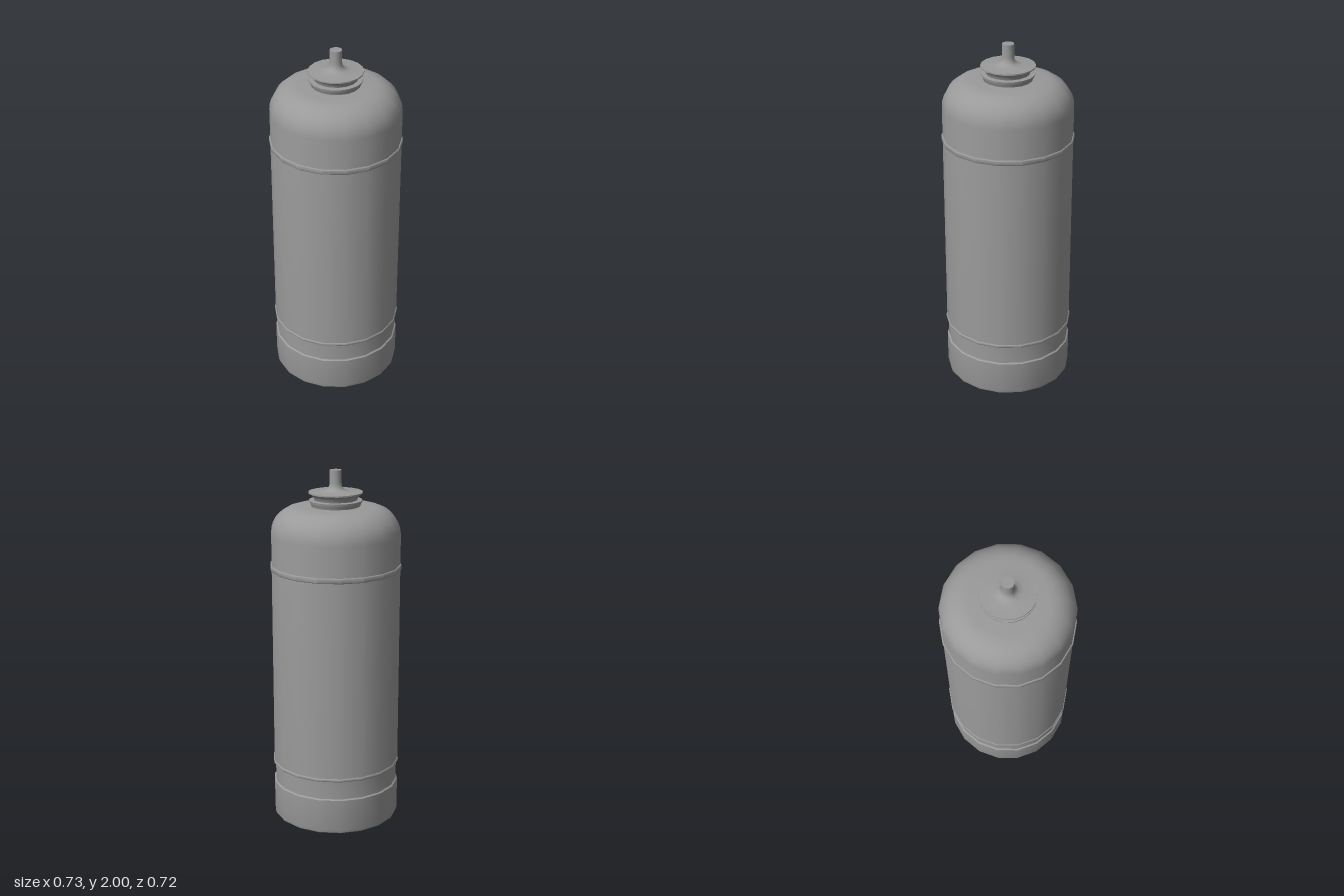
import * as THREE from 'three';
import { toCreasedNormals } from 'three/addons/utils/BufferGeometryUtils.js';

const SIDES = 18;

export function createModel() {
  const group = new THREE.Group();
  const material = new THREE.MeshStandardMaterial({ color: 0x9a9a9a });

  // Spin a [radius, height] profile, listed from bottom to top, with a corner on +x
  const turned = (name, profile) => {
    const points = profile.map(([r, y]) => new THREE.Vector2(r, y));
    const lathe = new THREE.LatheGeometry(points, SIDES, Math.PI / 2);
    const mesh = new THREE.Mesh(toCreasedNormals(lathe, 0.65), material);
    mesh.name = name;
    group.add(mesh);
  };

  // Base cup with a softened bottom edge
  turned('base', [[0, 0], [0.343, 0], [0.354, 0.008], [0.359, 0.025], [0.359, 0.205], [0.351, 0.211]]);

  // Recessed ring between base and body
  turned('recess', [[0.351, 0.205], [0.351, 0.325]]);

  // Straight body with a rounded shoulder
  const shoulder = [];
  for (let i = 0; i <= 8; i++) {
    const a = (i / 8) * Math.PI / 2;
    shoulder.push([0.207 + 0.152 * Math.cos(a), 1.65 + 0.152 * Math.sin(a)]);
  }
  turned('body', [[0.351, 0.325], [0.359, 0.33], ...shoulder, [0, 1.805]]);

  // Raised bands around the body
  const band = (name, y0, y1, r) => turned(name, [
    [0.349, y0], [r - 0.003, y0], [r, y0 + 0.004], [r, y1 - 0.004], [r - 0.003, y1], [0.349, y1],
  ]);
  band('lowerBand', 0.319, 0.337, 0.364);
  band('upperBand', 1.453, 1.482, 0.366);

  // Flared lower collar of the cap
  turned('collar', [[0.134, 1.8], [0.138, 1.815], [0.147, 1.83], [0.147, 1.836], [0.12, 1.838]]);

  // Cap disc above a narrow waist, sweeping up into the spout
  turned('capAndSpout', [
    [0.118, 1.834], [0.122, 1.85], [0.135, 1.866], [0.15, 1.874], [0.15, 1.881],
    [0.08, 1.884], [0.055, 1.89], [0.042, 1.9], [0.035, 1.915], [0.033, 1.93], [0.033, 2], [0, 2],
  ]);

  return group;
}
